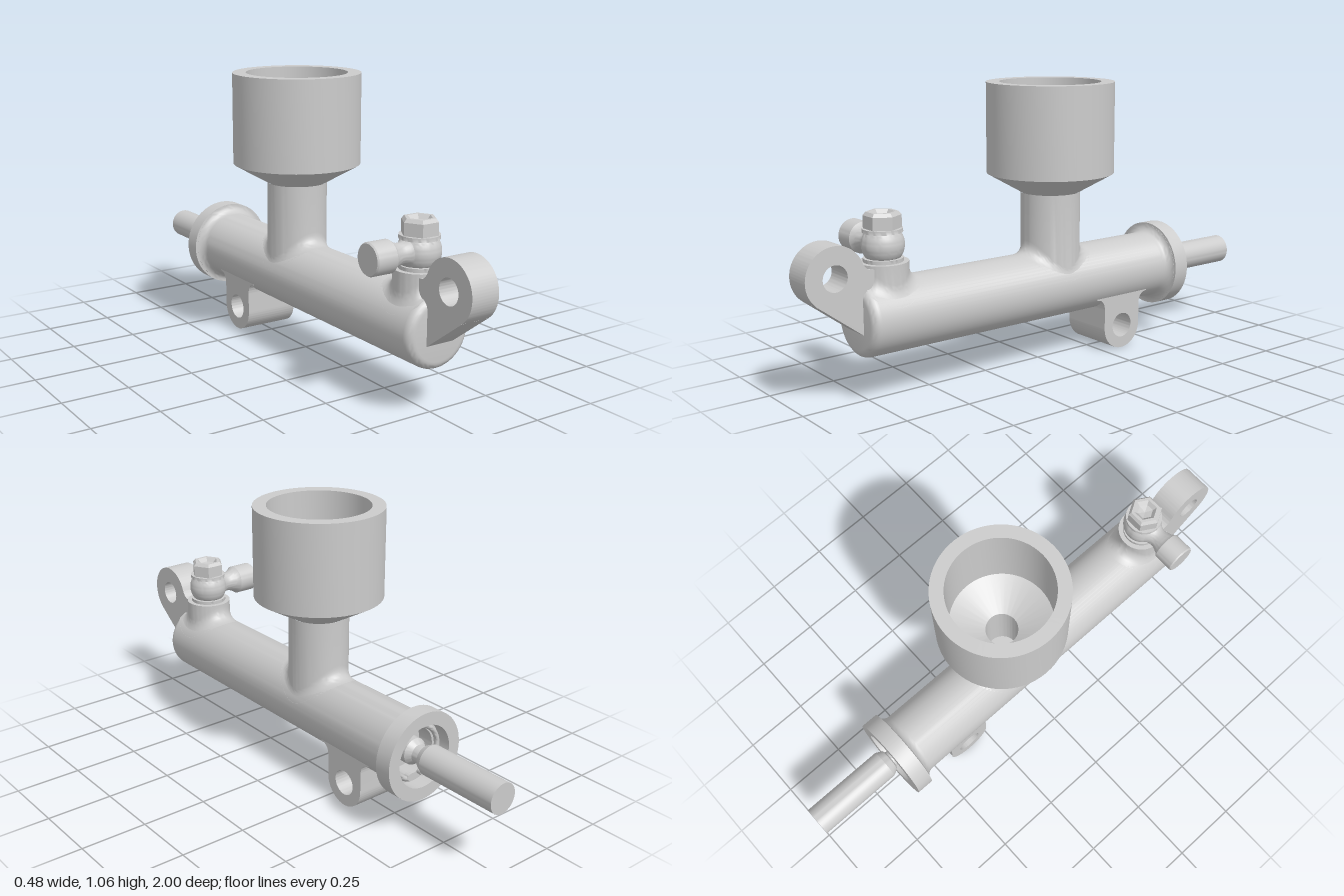
import * as THREE from 'three';
import { toCreasedNormals } from 'three/addons/utils/BufferGeometryUtils.js';

const AXIS_Y = 0.29, BODY_R = 0.13;
const grey = new THREE.MeshStandardMaterial({ color: 0xcccccc });

function part(name, geometry, crease = 0.6) {
  const mesh = new THREE.Mesh(toCreasedNormals(geometry, crease), grey);
  mesh.name = name;
  return mesh;
}

// Revolve [radius, height] pairs around y
function turned(points, segments = 64) {
  return new THREE.LatheGeometry(points.map(([r, h]) => new THREE.Vector2(r, h)), segments);
}

// Points of a quarter round from angle a0 to a1
function round(cr, ch, r, a0, a1, n = 6) {
  return Array.from({ length: n + 1 }, (_, i) => {
    const a = a0 + (a1 - a0) * i / n;
    return [cr + r * Math.cos(a), ch + r * Math.sin(a)];
  });
}

// Vertical stub whose foot blends into the horizontal body
function blendedStub(radius, zc, yTop, sideFillet, endFillet, zMax = 9) {
  const N = 72, M = 9, pos = [], idx = [];
  for (let i = 0; i <= M; i++) {
    for (let j = 0; j <= N; j++) {
      const a = j / N * Math.PI * 2, c = Math.cos(a), s = Math.sin(a);
      let f = sideFillet + (endFillet - sideFillet) * s * s;
      if (s > 0) f = Math.max(0.004, Math.min(f, (zMax - zc) / s - radius));
      const surface = r => AXIS_Y + Math.sqrt(Math.max(0, BODY_R ** 2 - (r * c) ** 2));
      const foot = surface(radius), t = (i - 1) / (M - 1);
      let r = radius, y = yTop;
      if (i > 0) {
        r = radius + f * t * t;
        y = (1 - t) ** 2 * Math.min(yTop, foot + f) + 2 * t * (1 - t) * foot + t * t * surface(radius + f);
      }
      pos.push(r * c, y, zc + r * s);
      if (i < M && j < N) {
        const p = i * (N + 1) + j, q = p + N + 1;
        idx.push(p, p + 1, q, p + 1, q + 1, q);
      }
    }
  }
  const g = new THREE.BufferGeometry();
  g.setAttribute('position', new THREE.Float32BufferAttribute(pos, 3));
  g.setIndex(idx);
  return g;
}

// Extrude a (z, y) outline across x, centred
function sidePlate(shape, width) {
  const g = new THREE.ExtrudeGeometry(shape, { depth: width, bevelEnabled: false, curveSegments: 40 });
  return g.translate(0, 0, -width / 2).rotateY(-Math.PI / 2);
}

function hole(shape, x, y, r) {
  shape.holes.push(new THREE.Path().absarc(x, y, r, 0, Math.PI * 2, true));
}

export function createModel() {
  const model = new THREE.Group();
  model.name = 'masterCylinder';

  // Body with rear bore, flange and rounded front end
  const body = turned([
    [0, -0.52], [0.088, -0.52], [0.088, -0.585], [0.118, -0.585], [0.118, -0.64],
    [0.167, -0.64], [0.167, -0.575], [0.158, -0.575],
    ...round(0.165, -0.54, 0.035, -Math.PI / 2 - 0.2, -Math.PI),
    ...round(0.1, 0.76, 0.03, 0, Math.PI / 2), [0, 0.79],
  ]).rotateX(Math.PI / 2).translate(0, AXIS_Y, 0);
  model.add(part('cylinderBody', body));

  // Retaining clip with two ears
  const clip = new THREE.Group();
  clip.name = 'retainingClip';
  const ring = new THREE.TorusGeometry(0.1, 0.01, 8, 48, Math.PI * 1.8).rotateZ(-Math.PI * 0.4);
  clip.add(part('clipRing', ring, 1));
  for (const s of [-1, 1]) {
    const ear = new THREE.CylinderGeometry(0.014, 0.014, 0.02, 16).rotateX(Math.PI / 2);
    clip.add(part('clipEar', ear.translate(s * 0.03, -0.085, 0)));
  }
  clip.position.set(0, AXIS_Y, -0.597);
  model.add(clip);

  // Push rod with narrowed neck
  const rod = turned([
    [0, -1], [0.057, -1], [0.057, -0.67], [0.045, -0.645], [0.034, -0.64],
    [0.034, -0.61], [0.05, -0.59], [0.05, -0.52],
  ], 40).rotateX(Math.PI / 2).translate(0, AXIS_Y, 0);
  model.add(part('pushRod', rod, 0.4));

  // Reservoir cup, neck and ported floor
  const cup = turned([
    [0.108, 0.645], [0.24, 0.72], [0.24, 1.06], [0.19, 1.06], [0.19, 0.75], [0.06, 0.68], [0.06, 0.44],
  ]).translate(0, 0, -0.06);
  model.add(part('reservoir', cup, 0.4));
  model.add(part('reservoirNeck', blendedStub(0.113, -0.06, 0.647, 0.014, 0.05), 0.7));
  const floor = new THREE.Shape().absarc(0, 0, 0.06, 0, Math.PI * 2);
  hole(floor, 0, 0.045, 0.011);
  hole(floor, 0, -0.04, 0.008);
  const floorGeo = new THREE.ShapeGeometry(floor, 24).rotateX(-Math.PI / 2).translate(0, 0.44, -0.06);
  model.add(part('reservoirFloor', floorGeo));

  // Front mounting lug
  const front = new THREE.Shape();
  front.moveTo(0.7, 0.21);
  front.lineTo(0.78, 0.245);
  front.lineTo(0.955, 0.376);
  front.absarc(0.89, 0.465, 0.11, -0.94, 2.8, false);
  front.quadraticCurveTo(0.775, 0.48, 0.76, 0.475);
  front.lineTo(0.7, 0.47);
  hole(front, 0.89, 0.465, 0.046);
  model.add(part('frontLug', sidePlate(front, 0.11)));

  // Rear mounting lug with flared root
  const rear = new THREE.Shape();
  rear.moveTo(-0.47, 0.25);
  rear.lineTo(-0.47, 0.212);
  rear.quadraticCurveTo(-0.43, 0.21, -0.43, 0.165);
  rear.lineTo(-0.43, 0.09);
  rear.absarc(-0.34, 0.09, 0.09, Math.PI, Math.PI * 2, false);
  rear.lineTo(-0.25, 0.165);
  rear.quadraticCurveTo(-0.25, 0.21, -0.21, 0.212);
  rear.lineTo(-0.21, 0.25);
  hole(rear, -0.34, 0.092, 0.048);
  model.add(part('rearLug', sidePlate(rear, 0.214)));

  // Outlet boss
  const Z = 0.675;
  model.add(part('outletBoss', blendedStub(0.088, Z, 0.485, 0.03, 0.055, 0.775), 0.7));
  const bossTop = new THREE.CircleGeometry(0.088, 72).rotateX(-Math.PI / 2);
  model.add(part('outletBossTop', bossTop.translate(0, 0.485, Z)));

  // Banjo fitting: washers and round eye
  const eye = turned([
    [0.07, 0.484], [0.07, 0.498], [0.058, 0.498],
    ...round(0, 0.543, 0.075, -0.62, 0.62, 12),
    [0.058, 0.586], [0.07, 0.586], [0.07, 0.6], [0, 0.6],
  ], 48).translate(0, 0, Z);
  model.add(part('banjoEye', eye));

  // Hex bolt head with dished top
  const bolt = turned([
    [0.066, 0.6], [0.066, 0.645], [0.056, 0.657], [0.044, 0.657], [0.03, 0.642], [0, 0.636],
  ], 6).rotateY(Math.PI / 2).translate(0, 0, Z);
  model.add(part('banjoBolt', bolt, 0.15));

  // Side hose connector
  const connector = turned([
    [0.05, 0.055], [0.042, 0.066], [0.037, 0.08], [0.038, 0.095], [0.044, 0.112],
    [0.046, 0.118], [0.057, 0.132], [0.057, 0.207], [0.053, 0.212], [0, 0.212],
  ], 40).rotateZ(Math.PI / 2).translate(0, 0.543, Z);
  model.add(part('hoseConnector', connector, 0.5));

  return model;
}
